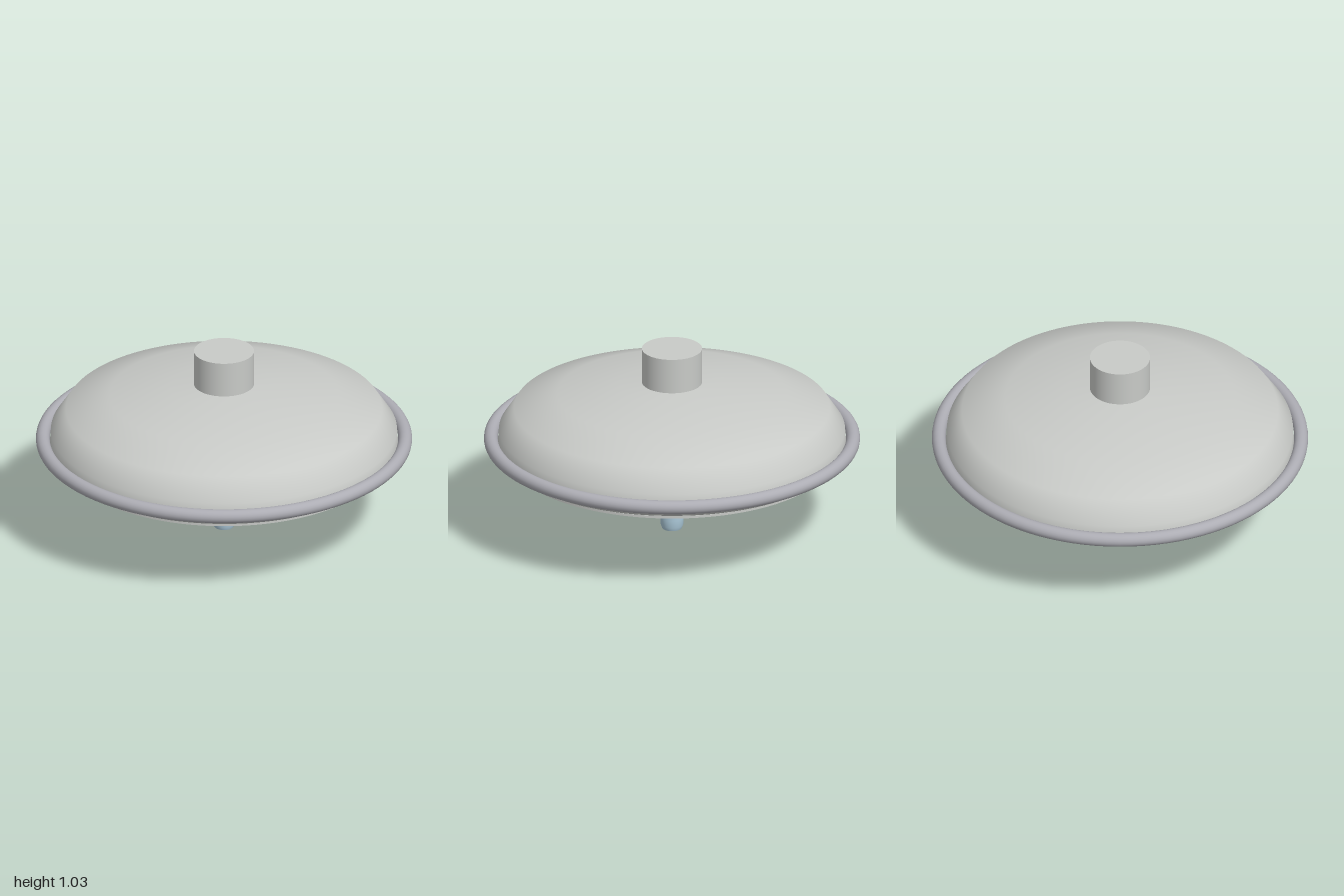
import * as THREE from 'three';

const shell = new THREE.MeshStandardMaterial({ name: 'shellGrey', color: 0xc8cac7 });
const trim = new THREE.MeshStandardMaterial({ name: 'trimGrey', color: 0xadadb4 });
const steel = new THREE.MeshStandardMaterial({ name: 'blueSteel', color: 0xabc8d8 });

export function createModel() {
  const model = new THREE.Group();
  model.name = 'domedDisc';

  const add = (name, geometry, material, y = 0) => {
    const mesh = new THREE.Mesh(geometry, material);
    mesh.name = name;
    mesh.position.y = y;
    model.add(mesh);
    return mesh;
  };
  // Profiles run from bottom to top as [radius, y]
  const lathe = (points, segments = 96) =>
    new THREE.LatheGeometry(points.map(([r, y]) => new THREE.Vector2(r, y)), segments);
  const disc = (radius, bottom, top) =>
    new THREE.CylinderGeometry(radius, radius, top - bottom, 96);

  // Shallow dome
  add('dome', lathe([[0.925, 0.5], [0.92, 0.57], [0.84, 0.69], [0.61, 0.77], [0.28, 0.82], [0, 0.835]]), shell);

  // Underside of the shell
  add('underside', lathe([[0, 0.425], [0.78, 0.43], [0.9, 0.44], [0.925, 0.485], [0.925, 0.52]]), shell);

  // Rounded rim
  const rim = new THREE.TorusGeometry(0.963, 0.037, 20, 96).rotateX(Math.PI / 2);
  add('rim', rim, trim, 0.515);

  // Base plate, top knob and collar
  add('basePlate', disc(0.865, 0.41, 0.424), shell, 0.417);
  add('topKnob', disc(0.16, 0.838, 1.03), shell, 0.934);
  add('knobNeck', disc(0.08, 0.825, 0.84), shell, 0.8325);
  add('collar', disc(0.145, 0.36, 0.415), trim, 0.3875);

  // Stem, flared under the collar and rounded at the foot
  add('stem', lathe([[0.052, 0], [0.06, 0.02], [0.063, 0.06], [0.063, 0.29], [0.066, 0.33], [0.073, 0.365]], 48), steel);
  const foot = add('stemFoot', new THREE.CircleGeometry(0.052, 48), steel);
  foot.rotation.x = Math.PI / 2;

  return model;
}
